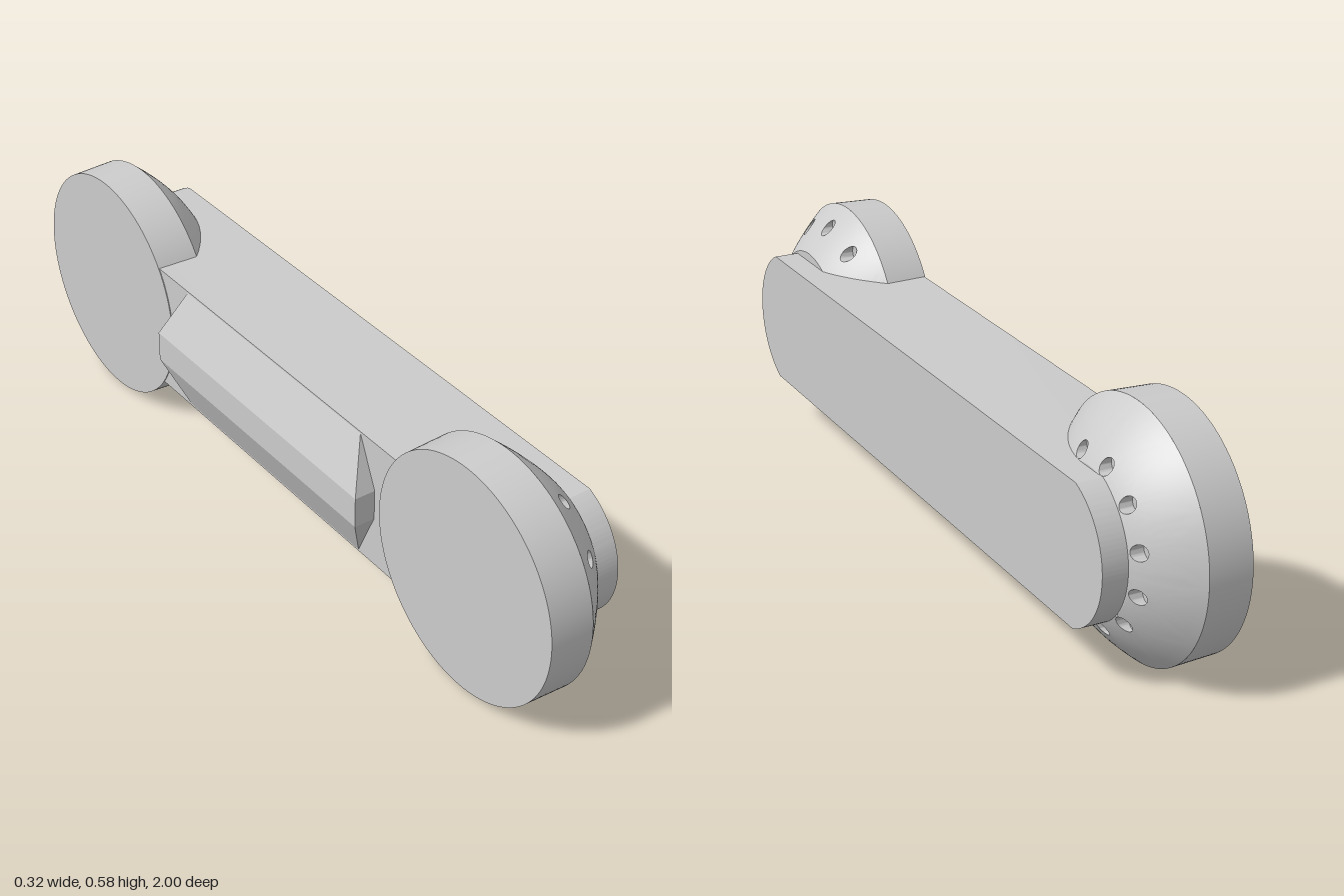
import * as THREE from 'three';
import { toCreasedNormals } from 'three/addons/utils/BufferGeometryUtils.js';
import { ConvexGeometry } from 'three/addons/geometries/ConvexGeometry.js';

const CY = 0.296;            // height of the long axis
const RIM = 0.292;           // widest radius of an end disc
const SHOULDER = -0.007, FACE = 0.1, BACK = -0.112;   // disc stations along x
const HOLE = 0.0175;         // radius of the drilled holes

function createModel() {
  const group = new THREE.Group();
  const material = new THREE.MeshStandardMaterial({ color: 0xcccccc });
  const add = (parent, name, geometry) => {
    const mesh = new THREE.Mesh(geometry, material);
    mesh.name = name;
    parent.add(mesh);
  };

  // Surface of revolution about the x axis from [radius, x] pairs
  const turned = (pairs) => {
    const g = new THREE.LatheGeometry(pairs.map(([r, x]) => new THREE.Vector2(r, x)), 144);
    g.rotateZ(-Math.PI / 2);
    return toCreasedNormals(g, 0.5);
  };

  // Domed shoulder: twelve sectors, each a grid spreading from one blind hole
  function drilledShoulder({ inner, bulge, ring, floor, phase }) {
    const K = 48, ROWS = 5, half = Math.PI / 12;
    const domeX = (r) => {
      const t = (r - inner) / (RIM - inner);
      return FACE + (SHOULDER - FACE) * t + bulge * 4 * t * (1 - t);
    };
    const positions = [], index = [];
    for (let s = 0; s < 12; s++) {
      const mid = phase + s * 2 * half;
      const start = positions.length / 3;
      // rows: hole floor centre, hole floor edge, then hole rim out to sector border
      for (let row = -2; row <= ROWS; row++) {
        for (let j = 0; j <= K; j++) {
          const phi = (j / K) * Math.PI * 2;
          const c = Math.cos(phi), d = Math.sin(phi);
          const m = Math.max(Math.abs(c), Math.abs(d));
          const size = row === -2 ? 0 : HOLE;
          const t = Math.max(row, 0) / ROWS;
          const border = (d / m) * (d > 0 ? RIM - ring : ring - inner);
          const angle = mid + (1 - t) * c * size / ring + t * (c / m) * half;
          const r = ring + (1 - t) * d * size + t * border;
          positions.push(row < 0 ? floor : domeX(r), r * Math.sin(angle), r * Math.cos(angle));
        }
      }
      for (let row = 0; row < ROWS + 2; row++) {
        for (let j = 0; j < K; j++) {
          const a = start + row * (K + 1) + j, b = a + K + 1;
          if (row > 0) index.push(a, b, a + 1);
          index.push(b, b + 1, row > 0 ? a + 1 : a);
        }
      }
    }
    const g = new THREE.BufferGeometry();
    g.setAttribute('position', new THREE.Float32BufferAttribute(positions, 3));
    g.setIndex(index);
    return toCreasedNormals(g, 0.5);
  }

  // End discs
  const discs = [
    { name: 'frontDisc', z: 0.708, inner: 0.185, bulge: 0.005, ring: 0.245, floor: 0.025, phase: 0 },
    { name: 'backDisc', z: -0.708, inner: 0.168, bulge: 0.01, ring: 0.188, floor: 0.066, phase: Math.PI / 12 },
  ];
  for (const spec of discs) {
    const disc = new THREE.Group();
    disc.name = spec.name;
    disc.position.set(0, CY, spec.z);
    add(disc, 'discRim', turned([[0, BACK], [0.288, BACK], [RIM, SHOULDER]]));
    add(disc, 'drilledShoulder', drilledShoulder(spec));
    add(disc, 'discFace', turned([[spec.inner, FACE], [0, FACE]]));
    group.add(disc);
  }

  // Long arm: flat top and bottom with shallow rounded ends
  const halfHeight = 0.164;
  const backArc = Math.asin(halfHeight / 0.176), frontArc = Math.asin(halfHeight / 0.18);
  const outline = new THREE.Shape();
  outline.absarc(0.696, CY, 0.176, -backArc, backArc, false);
  outline.absarc(-0.708, CY, 0.18, Math.PI - frontArc, Math.PI + frontArc, false);
  outline.closePath();
  const arm = new THREE.ExtrudeGeometry(outline, { depth: 0.27, bevelEnabled: false, curveSegments: 40 });
  arm.rotateY(Math.PI / 2);
  arm.translate(-0.11, 0, 0);
  add(group, 'arm', toCreasedNormals(arm, 0.4));

  // Faceted raised panel on the rear of the arm
  const corners = [];
  for (const sy of [-1, 1]) {
    for (const sz of [-1, 1]) {
      corners.push(
        new THREE.Vector3(-0.11, CY + sy * 0.16, sz * 0.345),
        new THREE.Vector3(-0.11, CY + sy * 0.038, sz * 0.4),
        new THREE.Vector3(-0.162, CY + sy * 0.038, sz * 0.4),
      );
    }
  }
  add(group, 'raisedPanel', new ConvexGeometry(corners));

  return group;
}

export { createModel };
